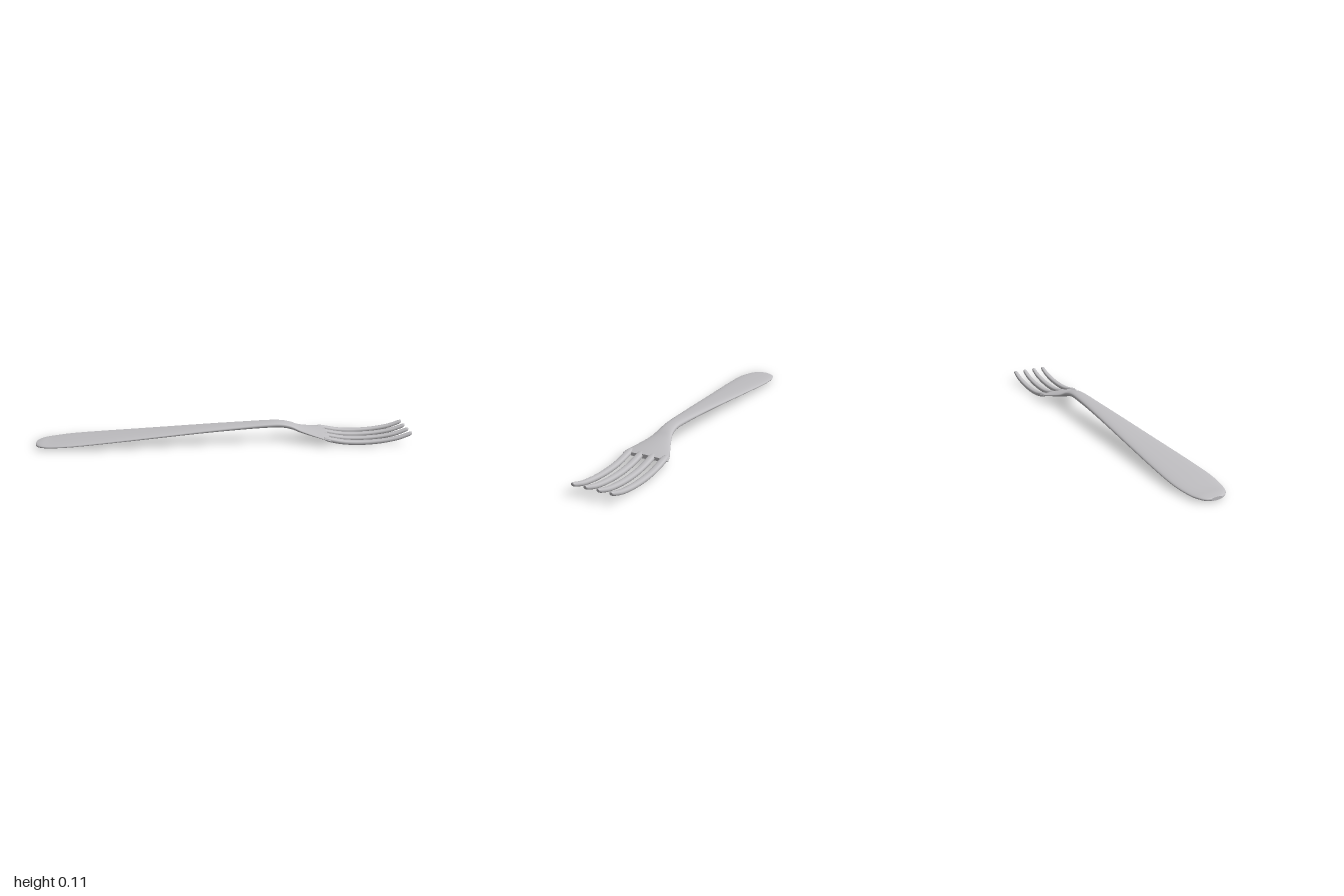
import * as THREE from 'three';

const metal = new THREE.MeshStandardMaterial({ color: 0xbfbec1 });
metal.name = 'brushedSteel';

// Loft rounded sections along x. Station: [x, centre y, half width, half thickness, squareness]
function loft(name, stations, steps, sides) {
  const place = new THREE.CatmullRomCurve3(stations.map(s => new THREE.Vector3(s[0], s[1], 0)), false, 'catmullrom', 0.5);
  const size = new THREE.CatmullRomCurve3(stations.map(s => new THREE.Vector3(s[2], s[3], s[4])), false, 'catmullrom', 0.5);
  const rows = (stations.length - 1) * steps;
  const pos = [], index = [];
  const bend = (v, n) => Math.sign(v) * Math.pow(Math.abs(v), 2 / n);
  for (let i = 0; i <= rows; i++) {
    const p = place.getPoint(i / rows), s = size.getPoint(i / rows);
    for (let j = 0; j < sides; j++) {
      const a = (j / sides) * Math.PI * 2;
      pos.push(p.x, p.y + s.y * bend(Math.sin(a), s.z), s.x * bend(Math.cos(a), s.z));
    }
  }
  for (let i = 0; i < rows; i++) {
    for (let j = 0; j < sides; j++) {
      const k = (j + 1) % sides;
      const a = i * sides + j, b = i * sides + k;
      index.push(a, a + sides, b, b, a + sides, b + sides);
    }
  }
  // Flat end caps with their own vertices, so the rims stay crisp
  for (const row of [0, rows]) {
    const base = pos.length / 3;
    pos.push(...pos.slice(row * sides * 3, (row + 1) * sides * 3));
    const s = stations[row ? stations.length - 1 : 0];
    pos.push(s[0], s[1], 0);
    for (let j = 0; j < sides; j++) {
      const a = base + j, b = base + (j + 1) % sides;
      index.push(base + sides, row ? b : a, row ? a : b);
    }
  }
  const geo = new THREE.BufferGeometry();
  geo.setAttribute('position', new THREE.Float32BufferAttribute(pos, 3));
  geo.setIndex(index);
  geo.computeVertexNormals();
  const mesh = new THREE.Mesh(geo, metal);
  mesh.name = name;
  return mesh;
}

export function createModel() {
  const fork = new THREE.Group();
  fork.name = 'fork';

  // Handle, narrow neck and flared head in one sweep
  fork.add(loft('handleAndHead', [
    [-1.0, 0.014, 0.03, 0.008, 2.2],
    [-0.99, 0.014, 0.052, 0.01, 2.3],
    [-0.965, 0.016, 0.074, 0.011, 2.4],
    [-0.92, 0.018, 0.09, 0.011, 2.4],
    [-0.82, 0.025, 0.103, 0.012, 2.4],
    [-0.65, 0.037, 0.097, 0.0125, 2.4],
    [-0.4, 0.055, 0.08, 0.013, 2.4],
    [-0.1, 0.077, 0.059, 0.014, 2.4],
    [0.1, 0.089, 0.046, 0.015, 2.4],
    [0.22, 0.095, 0.04, 0.016, 2.4],
    [0.3, 0.0955, 0.037, 0.016, 2.4],
    [0.36, 0.085, 0.042, 0.0155, 2.3],
    [0.41, 0.066, 0.058, 0.014, 2.1],
    [0.48, 0.049, 0.09, 0.013, 1.9],
    [0.53, 0.039, 0.114, 0.012, 1.7],
    [0.562, 0.032, 0.123, 0.011, 1.6],
  ], 4, 28));

  // Four curved tines rooted inside the head
  [-0.096, -0.032, 0.032, 0.096].forEach((z, i) => {
    const tine = loft('tine' + (i + 1), [
      [0.53, 0.04, 0.012, 0.008, 2.3],
      [0.56, 0.033, 0.018, 0.0125, 2.4],
      [0.64, 0.018, 0.0175, 0.0125, 2.4],
      [0.73, 0.0133, 0.017, 0.0125, 2.4],
      [0.83, 0.019, 0.016, 0.012, 2.4],
      [0.92, 0.034, 0.0145, 0.0115, 2.4],
      [0.975, 0.052, 0.013, 0.011, 2.3],
      [0.993, 0.059, 0.0115, 0.01, 2.2],
      [1.0, 0.062, 0.007, 0.006, 2.0],
    ], 3, 16);
    tine.position.z = z;
    fork.add(tine);
  });

  return fork;
}
